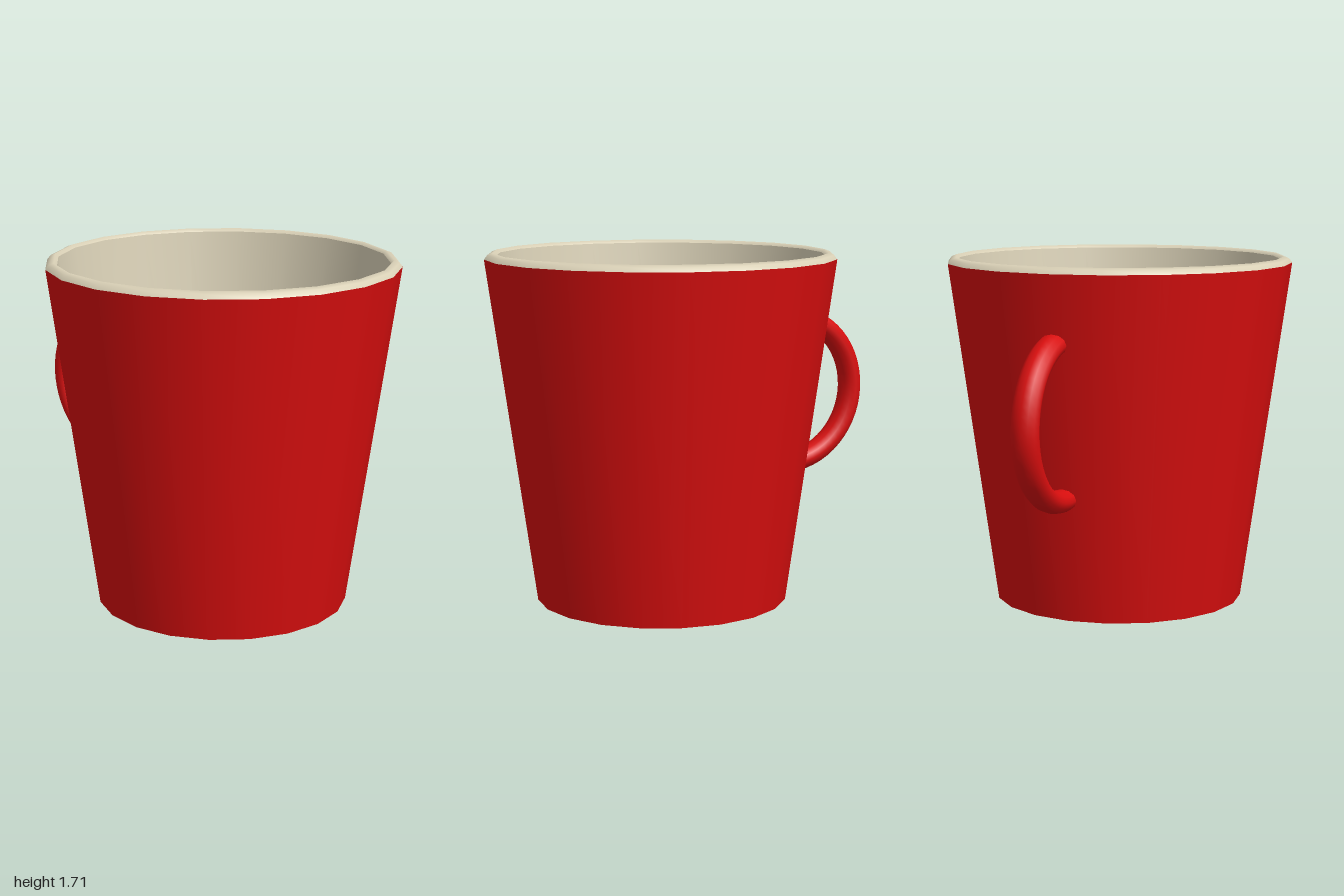
import * as THREE from 'three';

const SIDES = 20;

// Turned surface from [radius, height] points; anticlockwise profiles face outward
function turned(name, points, material) {
  const profile = points.map(([r, y]) => new THREE.Vector2(r, y));
  const mesh = new THREE.Mesh(new THREE.LatheGeometry(profile, SIDES), material);
  mesh.name = name;
  return mesh;
}

export function createModel() {
  const red = new THREE.MeshStandardMaterial({ color: 0xd80e0e });
  red.name = 'red glaze';
  const cream = new THREE.MeshStandardMaterial({ color: 0xd9d0b6 });
  cream.name = 'cream glaze';

  const model = new THREE.Group();
  model.name = 'mug';

  // Tapered cup, set forward to leave room for the handle
  const cup = new THREE.Group();
  cup.name = 'cup';
  cup.position.z = 0.145;
  cup.add(
    turned('outerWall', [[0.615, 0], [0.85, 1.675]], red),
    turned('rim', [[0.85, 1.675], [0.835, 1.695], [0.81, 1.705], [0.795, 1.69]], cream),
    turned('innerWallAndFloor', [[0.795, 1.69], [0.58, 0.16], [0.55, 0.1], [0.47, 0.07], [0, 0.07]], cream),
    // Recessed underside with a narrow foot ring
    turned('footRing', [[0.56, 0], [0.615, 0]], red),
    turned('recessWall', [[0.56, 0.03], [0.56, 0]], red),
    turned('underside', [[0, 0.03], [0.56, 0.03]], red),
  );
  model.add(cup);

  // Round handle, slightly wider than thick, its ends sunk into the wall
  const start = THREE.MathUtils.degToRad(-95);
  const arc = THREE.MathUtils.degToRad(175);
  const ring = new THREE.TorusGeometry(0.375, 0.054, 12, 28, arc);
  ring.rotateZ(start);
  ring.scale(1, 1, 1.25);
  ring.rotateY(Math.PI / 2);
  const handle = new THREE.Mesh(ring, red);
  handle.name = 'handle';
  handle.position.set(-0.008, 0.98, -0.57);
  model.add(handle);

  return model;
}
